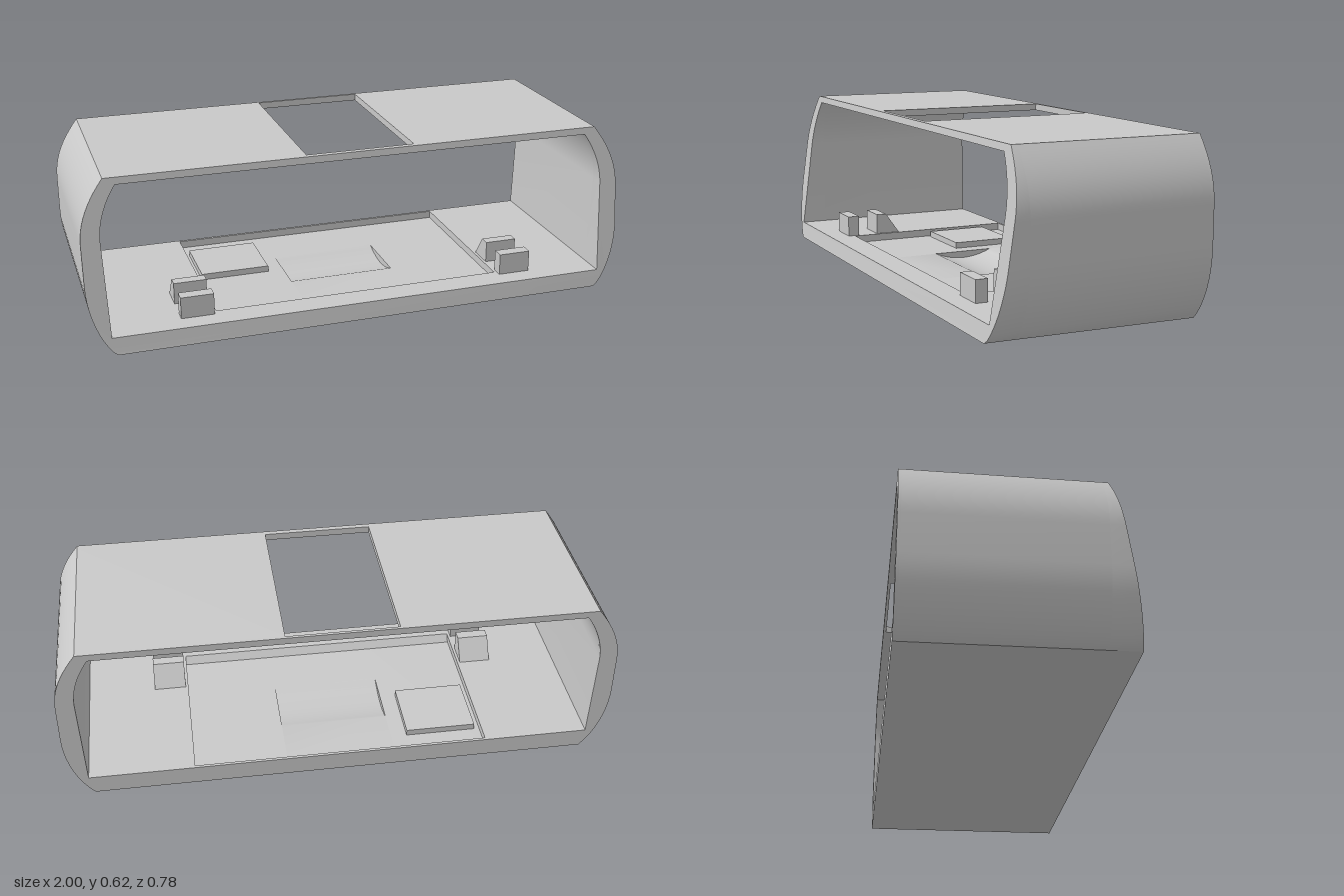
import * as THREE from 'three';
import { toCreasedNormals } from 'three/addons/utils/BufferGeometryUtils.js';

const V = (x, y) => new THREE.Vector2(x, y);
const flip = pts => pts.map(p => V(-p.x, p.y));
const mirror = pts => flip(pts).reverse();
const bend = (...p) => new THREE.CubicBezierCurve(...p).getPoints(10);

// Right-hand outlines, from bottom to top
const outer = [
  ...bend(V(0.905, 0), V(0.965, 0.06), V(1, 0.16), V(1, 0.26)),
  ...bend(V(1, 0.40), V(1, 0.48), V(0.965, 0.55), V(0.91, 0.62)),
];
const inner = [
  V(0.923, 0.07),
  ...bend(V(0.934, 0.41), V(0.934, 0.48), V(0.905, 0.545), V(0.87, 0.595)),
];
const BACK = -0.388, HOLE_BACK = -0.377, HOLE_FRONT = 0.28, FLOOR = 0.07, PAN = 0.042;
const frontZ = y => 0.388 - (y - 0.008) * 0.142;

// Closed ring section of the case
function ringShape() {
  const s = new THREE.Shape([...outer, ...mirror(outer)]);
  s.holes.push(new THREE.Path([...inner, ...mirror(inner)]));
  return s;
}

// Section with the top opening and the sunken floor
function openShape() {
  const floor = [V(0.54, FLOOR), V(0.54, PAN), V(0.2, PAN), V(0.2, 0.014)];
  return new THREE.Shape([
    V(-0.2, 0.62), ...mirror(outer), ...outer, V(0.2, 0.62), V(0.2, 0.595),
    ...[...inner].reverse(), ...floor, ...mirror(floor), ...flip(inner), V(-0.2, 0.595),
  ]);
}

// Extrude a section between two z values; the front one may depend on height
function slice(shape, z0, z1) {
  const g = new THREE.ExtrudeGeometry(shape, { depth: 1, bevelEnabled: false });
  const p = g.attributes.position;
  for (let i = 0; i < p.count; i++) {
    const y = p.getY(i);
    const z = p.getZ(i) < 0.5 ? z0 : (typeof z1 === 'function' ? z1(y) : z1);
    p.setZ(i, z);
    if (y < 0.001) p.setY(i, (z - BACK) * 0.01); // slightly tilted underside
  }
  return toCreasedNormals(g, 0.5);
}

// Extrude a [z, y] side profile from x0 to x1
function extrudeX(pts, x0, x1) {
  const shape = new THREE.Shape(pts.map(([z, y]) => V(-z, y)));
  const g = new THREE.ExtrudeGeometry(shape, { depth: x1 - x0, bevelEnabled: false });
  g.rotateY(Math.PI / 2).translate(x0, 0, 0);
  return toCreasedNormals(g, 0.5);
}

export function createModel() {
  const model = new THREE.Group();
  model.name = 'enclosure';
  const grey = new THREE.MeshStandardMaterial({ color: 0xc9c9c9 });
  grey.name = 'light grey';

  const add = (name, geometry) => {
    const m = new THREE.Mesh(geometry, grey);
    m.name = name;
    model.add(m);
    return m;
  };

  // Case shell
  add('backRim', slice(ringShape(), BACK, HOLE_BACK));
  add('caseMiddle', slice(openShape(), HOLE_BACK, HOLE_FRONT));
  add('frontRim', slice(ringShape(), HOLE_FRONT, frontZ));

  // Middle floor strip with a cylindrical trough
  const trough = [];
  for (let i = 0; i <= 16; i++) {
    const t = (i / 16) * 2 - 1;
    trough.push([-0.053 + 0.118 * t, PAN - 0.026 * (1 - t * t)]);
  }
  add('troughFloor', extrudeX(
    [[HOLE_BACK, 0.012], [HOLE_BACK, PAN], ...trough, [HOLE_FRONT, PAN], [HOLE_FRONT, 0.012]],
    -0.2, 0.2));

  // Bevel along the front of the sunken floor
  add('floorBevel', extrudeX(
    [[0.26, PAN], [HOLE_FRONT, FLOOR], [HOLE_FRONT, PAN]], -0.54, 0.54));

  // Raised pad on the sunken floor
  const pad = add('raisedPad', new THREE.BoxGeometry(0.26, 0.03, 0.24));
  pad.position.set(-0.39, PAN + 0.008, -0.17);

  // Paired clips: an upright stop in front and a ramped catch behind
  for (const x of [-0.67, 0.55]) {
    add('clipStop', extrudeX([[0.26, 0.06], [0.26, 0.15], [0.305, 0.15], [0.305, 0.06]], x, x + 0.12));
    add('clipRamp', extrudeX([[0.08, 0.065], [0.14, 0.15], [0.18, 0.15], [0.18, 0.065]], x, x + 0.12));
  }
  return model;
}
